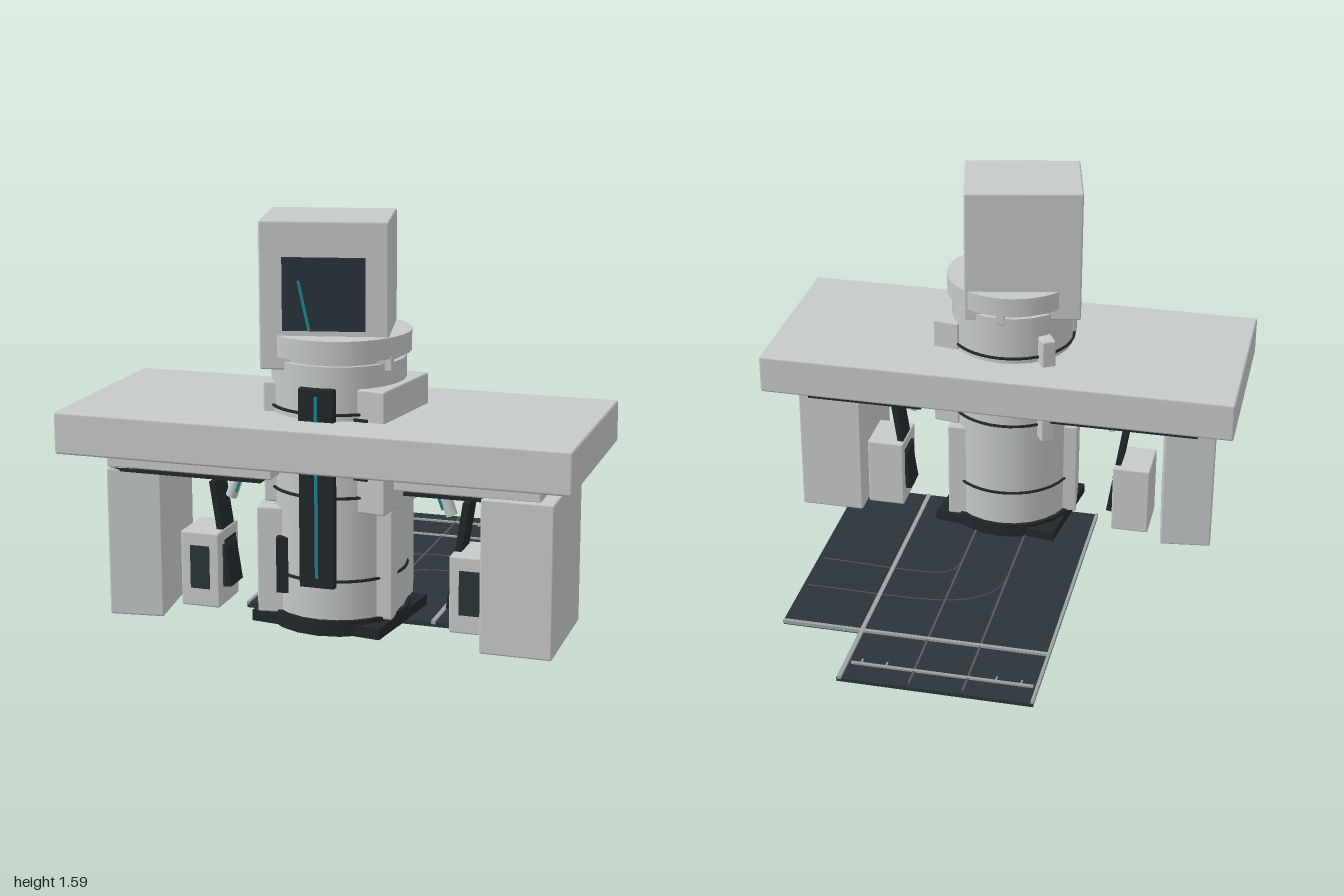
import * as THREE from 'three';
import { RoundedBoxGeometry } from 'three/addons/geometries/RoundedBoxGeometry.js';

const flat = (name, color) => {
  const m = new THREE.MeshStandardMaterial({ color });
  m.name = name;
  return m;
};

export function createModel() {
  const shell = flat('pale grey shell', 0xc5c9c8);
  const dark = flat('dark slate', 0x2b343a);
  const black = flat('near black', 0x20272b);
  const teal = flat('teal light', 0x1c8794);
  const trim = flat('grey trim', 0x9da3a4);
  const brown = flat('guide line', 0x555a5b);

  const model = new THREE.Group();
  const add = (name, geo, mat, x = 0, y = 0, z = 0, ry = 0, parent = model) => {
    const m = new THREE.Mesh(geo, mat);
    m.name = name;
    m.position.set(x, y, z);
    m.rotation.y = ry;
    parent.add(m);
    return m;
  };
  // Box given by its extents on each axis
  const box = (name, mat, [x0, x1], [y0, y1], [z0, z1], ry = 0, bevel = 0, parent = model) => {
    const s = [x1 - x0, y1 - y0, z1 - z0];
    const geo = bevel ? new RoundedBoxGeometry(...s, 2, bevel) : new THREE.BoxGeometry(...s);
    return add(name, geo, mat, (x0 + x1) / 2, (y0 + y1) / 2, (z0 + z1) / 2, ry, parent);
  };
  const drum = (name, mat, r, y0, y1, sides = 32) =>
    add(name, new THREE.CylinderGeometry(r, r, y1 - y0, sides), mat, 0, (y0 + y1) / 2, 0.5);
  const tube = (name, mat, pts, r, sides = 8) =>
    add(name, new THREE.TubeGeometry(
      new THREE.CatmullRomCurve3(pts.map(p => new THREE.Vector3(...p))), 16, r, sides), mat);

  // Counter slab and its underside plate
  box('counterSlab', shell, [-1, 1], [0.69, 0.855], [0.08, 0.92], 0, 0.01);
  box('undersidePlate', dark, [-0.6, 0.6], [0.676, 0.69], [0.17, 0.85]);

  // Floor panels: wide front section and narrow rear section
  box('floorFront', dark, [-0.39, 0.71], [0.005, 0.024], [-0.6, 0.5]);
  box('floorRear', dark, [-0.39, 0.39], [0.005, 0.02], [-0.93, -0.6]);
  box('floorCrossTrim', trim, [-0.39, 0.71], [0.015, 0.03], [-0.61, -0.595]);
  box('floorSideTrim', trim, [0.37, 0.387], [0.015, 0.03], [-0.93, 0.5]);
  box('floorEdgeTrim', trim, [-0.392, -0.38], [0.015, 0.03], [-0.93, 0.5]);
  box('rearRail', trim, [-0.37, 0.36], [0.015, 0.028], [-0.83, -0.818]);
  for (const x of [-0.32, -0.22, 0.22, 0.32])
    box('railTick', trim, [x - 0.003, x + 0.003], [0.015, 0.027], [-0.82, -0.795]);
  for (const x of [-0.11, 0.105])
    box('floorSeam', brown, [x - 0.004, x + 0.004], [0.015, 0.027], [-0.91, 0.3]);
  tube('outerGuide', brown, [[0.69, 0.025, -0.33], [0.1, 0.025, -0.315], [-0.04, 0.025, -0.25],
    [-0.1, 0.025, -0.15], [-0.11, 0.025, 0]], 0.003, 4);
  tube('innerGuide', brown, [[0.69, 0.025, -0.115], [0.2, 0.025, -0.12], [0.13, 0.025, -0.09],
    [0.105, 0.025, 0]], 0.003, 4);

  // Dark base under the column
  box('baseBlock', black, [-0.27, 0.27], [0.022, 0.065], [0.27, 0.72], -0.13);
  drum('baseDisc', black, 0.275, 0.022, 0.082, 20);

  // Column with dark bands and side housings
  drum('column', shell, 0.258, 0.08, 1.06, 24);
  for (const y of [0.235, 0.56, 0.88]) {
    const band = add('columnBand', new THREE.TorusGeometry(0.262, 0.006, 6, 40), black, 0, y, 0.5);
    band.rotation.x = Math.PI / 2;
  }
  box('sideHousing', shell, [0.168, 0.282], [0.5, 0.975], [0.335, 0.725], -0.15, 0.008);
  box('rearPost', shell, [-0.215, -0.155], [0.5, 0.97], [0.25, 0.34], 0.5, 0.008);
  box('frontPost', shell, [-0.255, -0.2], [0.5, 0.97], [0.55, 0.66], 0.1, 0.008);
  box('lowerHousing', shell, [-0.285, -0.15], [0.07, 0.49], [0.42, 0.7], 0.14, 0.008);
  box('lowerHousingPanel', black, [-0.185, -0.12], [0.16, 0.38], [0.66, 0.722], 0.14);
  box('lowerRightHousing', shell, [0.14, 0.25], [0.07, 0.5], [0.3, 0.66], 0.06, 0.008);
  box('housingVent', black, [0.135, 0.19], [0.63, 0.865], [0.66, 0.73], -0.15);

  // Front light strip
  box('frontStrip', black, [-0.07, 0.07], [0.21, 0.98], [0.73, 0.775], 0, 0.006);
  box('frontLight', teal, [-0.006, 0.006], [0.25, 0.95], [0.77, 0.78]);

  // Head: collar ring, turned cabinet, screen
  drum('collar', shell, 0.278, 1.08, 1.16, 36);
  drum('collarNeck', shell, 0.24, 1.05, 1.09, 24);
  box('collarHook', shell, [0.22, 0.25], [1.03, 1.09], [0.6, 0.63], 0, 0.005);
  box('collarHookRear', shell, [-0.02, 0.02], [1.03, 1.09], [0.24, 0.27], 0, 0.005);
  const head = new THREE.Group();
  head.name = 'head';
  head.position.set(-0.04, 0, 0.495);
  head.rotation.y = 0.22;
  model.add(head);
  box('headCabinet', shell, [-0.242, 0.242], [1.03, 1.59], [-0.19, 0.19], 0, 0.008, head);
  box('headScreen', dark, [-0.155, 0.155], [1.18, 1.455], [0.189, 0.198], 0, 0, head);
  const needle = add('screenNeedle', new THREE.BoxGeometry(0.01, 0.19, 0.006), teal, -0.06, 1.28, 0.73);
  needle.rotation.z = 0.22;

  // Outer legs
  box('rightLeg', shell, [-0.88, -0.664], [0.025, 0.615], [0.325, 0.775], 0.13, 0.008);
  box('leftLeg', shell, [0.635, 0.91], [0.025, 0.618], [0.31, 0.79], 0, 0.008);

  // Brackets, pods, leaning backs and curved arms on both sides
  for (const s of [-1, 1]) {
    const span = (a, b) => (s > 0 ? [a, b] : [-b, -a]);
    const inner = s > 0 ? 0.3 : 0.18;
    box('bracket', shell, span(inner, 0.855), [0.615, 0.69], [0.24, 0.77], 0, 0.006);
    box('bracketPlate', black, span(inner + 0.04, 0.84), [0.603, 0.615], [0.23, 0.78]);
    box('bracketLamp', teal, span(inner - 0.012, inner + 0.002), [0.63, 0.67], [0.68, 0.7]);
    box('pod', shell, span(0.467, 0.628), [0.025, 0.33], [0.39, 0.6], 0, 0.008);
    box('podFrontPanel', dark, span(0.507, 0.587), [0.1, 0.275], [0.597, 0.604]);
    box('podSidePanel', dark, span(0.462, 0.469), [0.1, 0.275], [0.43, 0.56]);
    const back = add('leaningBack', new THREE.BoxGeometry(0.025, 0.43, 0.12), black, s * 0.483, 0.31, 0.48);
    back.rotation.z = -s * 0.15;
    tube('curvedArm', shell, [[s * 0.37, 0.61, 0.5], [s * 0.415, 0.55, 0.5], [s * 0.45, 0.46, 0.5]], 0.023, 10);
    tube('armLight', teal, [[s * 0.365, 0.6, 0.525], [s * 0.395, 0.55, 0.525], [s * 0.42, 0.485, 0.525]], 0.005, 6);
  }
  return model;
}
